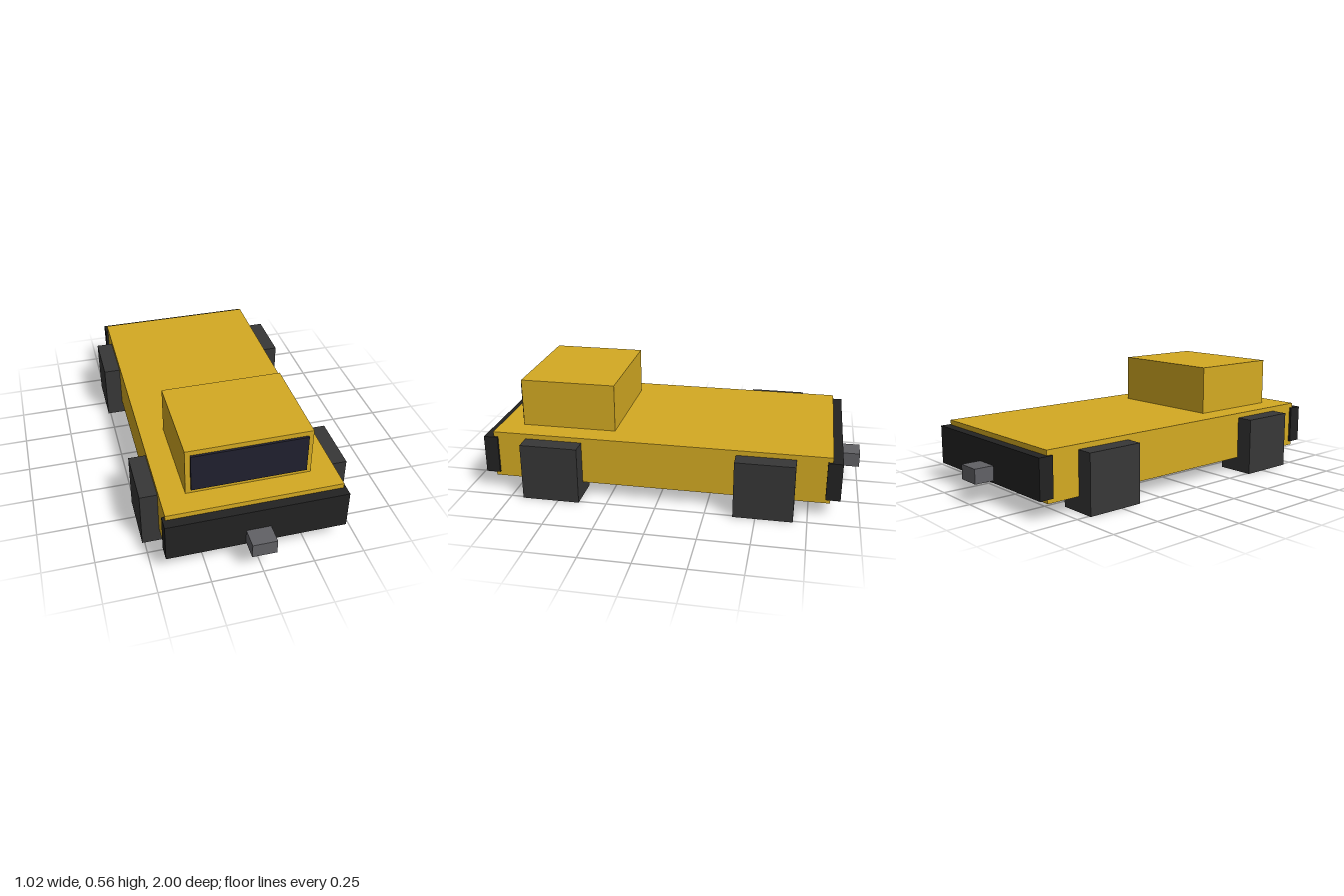
import * as THREE from 'three';

const paint = (color) => new THREE.MeshStandardMaterial({ color, flatShading: true });

export function createModel() {
  const model = new THREE.Group();
  const yellow = paint(0xd4aa22);
  const black = paint(0x222222);
  const glass = paint(0x20202e);
  const rubber = paint(0x373737);
  const steel = paint(0x616165);

  // Box given by its extents along each axis
  function block(name, material, [x0, x1], [y0, y1], [z0, z1]) {
    const mesh = new THREE.Mesh(new THREE.BoxGeometry(x1 - x0, y1 - y0, z1 - z0), material);
    mesh.name = name;
    mesh.position.set((x0 + x1) / 2, (y0 + y1) / 2, (z0 + z1) / 2);
    model.add(mesh);
  }
  const span = (a, b, side) => (side > 0 ? [a, b] : [-b, -a]);

  // Flat chassis with the cab near the front
  block('chassis', yellow, [-0.427, 0.427], [0.075, 0.318], [-0.854, 0.854]);
  block('cab', yellow, [-0.305, 0.305], [0.318, 0.563], [0.244, 0.732]);
  block('windshield', glass, [-0.28, 0.28], [0.342, 0.538], [0.72, 0.744]);

  for (const end of [1, -1]) {
    const place = end > 0 ? 'front' : 'rear';

    // Bumper and coupler at each end
    block(place + 'Bumper', black, [-0.439, 0.439], [0.098, 0.293], span(0.83, 0.902, end));
    block(place + 'Coupler', steel, [-0.06, 0.06], [0.11, 0.183], span(0.88, 1, end));

    // Block wheels at the corners
    for (const side of [1, -1]) {
      block(place + (side > 0 ? 'Left' : 'Right') + 'Wheel', rubber,
        span(0.317, 0.512, side), [0, 0.293], span(0.39, 0.683, end));
    }
  }
  return model;
}
